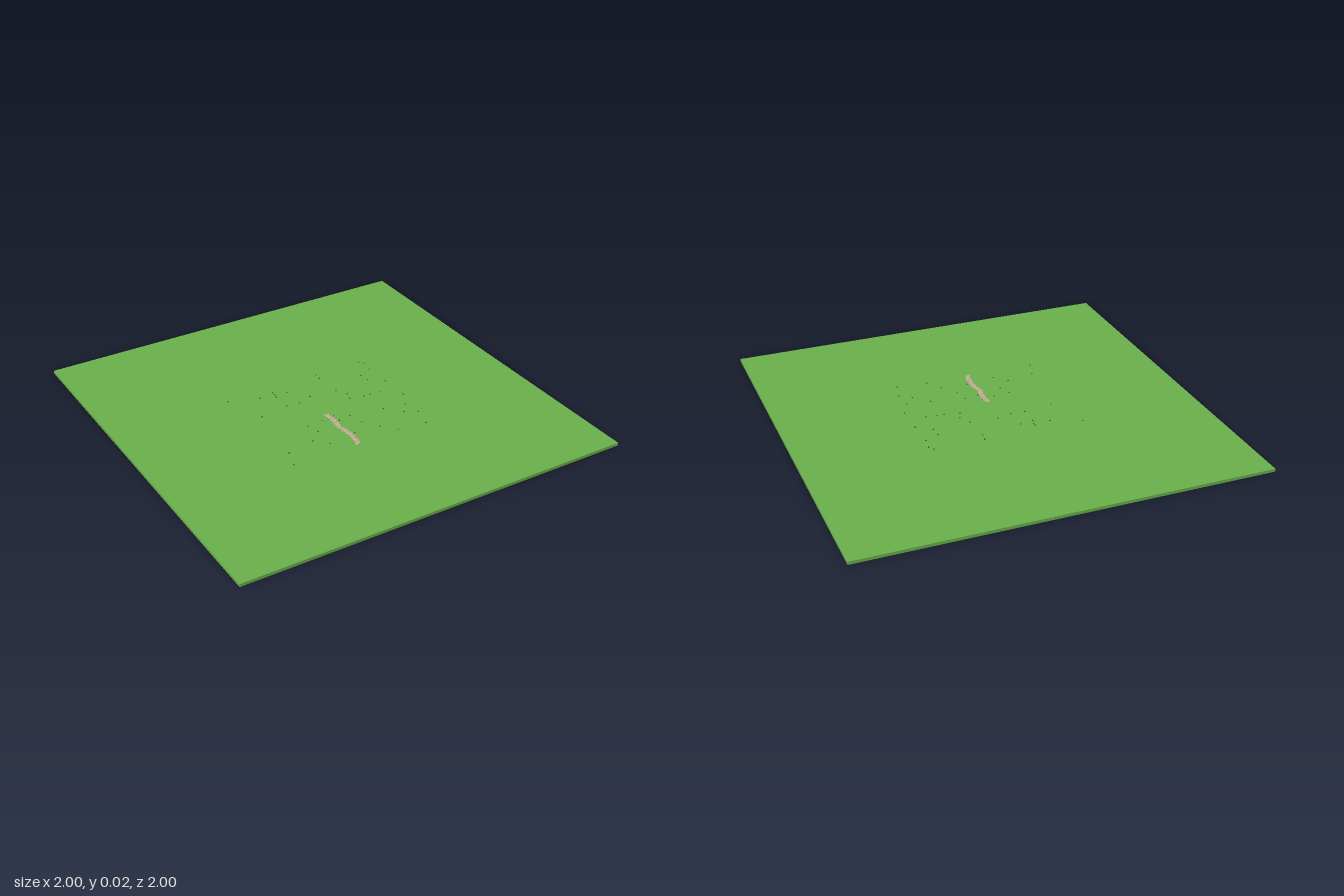
import * as THREE from 'three';

const TOP = 0.015; // height of the lawn surface

// Tuft positions, x and z in hundredths
const TUFTS = [
  -38.5, -27, -23.5, -21.5, -15.5, -23, -15.5, -21, -16, -18.5, -9.5, -19.5, 12, -27, 11.5, -23,
  37.5, -27, 39, -24.5, 38, -18, 31, -14.5, 31.5, -9.5, 38.5, -4, 12.5, -9, 15.5, -3,
  -1.5, -10, -16, -8.5, -9, -8, -31, -6, 14, 1.5, 21.5, 3, 25, 3, 30.5, 4,
  39, 11.5, -16.5, 13, -8, 12, 6, 15, 23, 18, 34.5, 20, -14.5, 19, -21, 25,
  7.5, 22.5, -35.5, 28, 30, 25.5, 36, 29, -15, 31, 13, 30.5, -38.5, 37.5, 18.5, 37.5,
  33.5, 39, -1.5, 11, -1, 16, -0.5, 29, -2.5, 33,
];

function seeded(seed) {
  return () => {
    seed = (seed * 16807) % 2147483647;
    return seed / 2147483647;
  };
}

export function createModel() {
  const model = new THREE.Group();
  const rand = seeded(4127);
  const material = (name, color) => {
    const m = new THREE.MeshStandardMaterial({ color, flatShading: true });
    m.name = name;
    return m;
  };
  const lawnGreen = material('lawn green', 0x6ab04c);
  const tuftGreen = material('dark leaf green', 0x2f5d2a);
  const sand = material('sandy stone', 0xc9b08f);
  const pink = material('pinkish stone', 0xbfa497);

  const add = (parent, name, geometry, mat, x, y, z) => {
    const mesh = new THREE.Mesh(geometry, mat);
    mesh.name = name;
    mesh.position.set(x, y, z);
    parent.add(mesh);
    return mesh;
  };

  // Thin square lawn
  add(model, 'lawn', new THREE.BoxGeometry(2, TOP, 2), lawnGreen, 0, TOP / 2, 0);

  // Scattered grass tufts, each a few tiny leaning blades
  const tufts = new THREE.Group();
  tufts.name = 'grassTufts';
  const blade = new THREE.ConeGeometry(0.0024, 0.008, 4).translate(0, 0.004, 0);
  for (let i = 0; i < TUFTS.length; i += 2) {
    const tuft = new THREE.Group();
    tuft.name = 'grassTuft';
    tuft.position.set(TUFTS[i] / 100, TOP, TUFTS[i + 1] / 100);
    tuft.rotation.y = rand() * Math.PI;
    for (let k = 0; k < 3; k++) {
      const a = (k * Math.PI * 2) / 3;
      const b = add(tuft, 'blade', blade, tuftGreen, Math.cos(a) * 0.002, -0.0005, Math.sin(a) * 0.002);
      b.rotation.set(Math.sin(a) * 0.35, 0, -Math.cos(a) * 0.35);
      b.scale.y = 0.7 + rand() * 0.3;
    }
    tufts.add(tuft);
  }
  model.add(tufts);

  // Narrow winding path of flat pebbles
  const path = new THREE.Group();
  path.name = 'pebblePath';
  const route = new THREE.CatmullRomCurve3([
    [-0.032, 0.08], [-0.028, 0.14], [-0.038, 0.2], [-0.028, 0.27], [-0.028, 0.33], [-0.042, 0.38],
  ].map(([x, z]) => new THREE.Vector3(x, TOP, z)));
  const pebble = new THREE.CylinderGeometry(0.8, 1, 1, 7);
  const COUNT = 64;
  for (let i = 0; i < COUNT; i++) {
    const p = route.getPoint(i / (COUNT - 1));
    const r = 0.006 + rand() * 0.003;
    const side = ((i % 3) - 1) * 0.007 + (rand() - 0.5) * 0.004;
    const height = 0.0015 + rand() * 0.002;
    const mesh = add(path, 'pebble', pebble, i % 4 === 1 ? pink : sand, p.x + side, TOP + height / 2, p.z);
    mesh.scale.set(r, height, r * (0.8 + rand() * 0.3));
    mesh.rotation.y = rand() * Math.PI;
  }
  model.add(path);

  return model;
}
